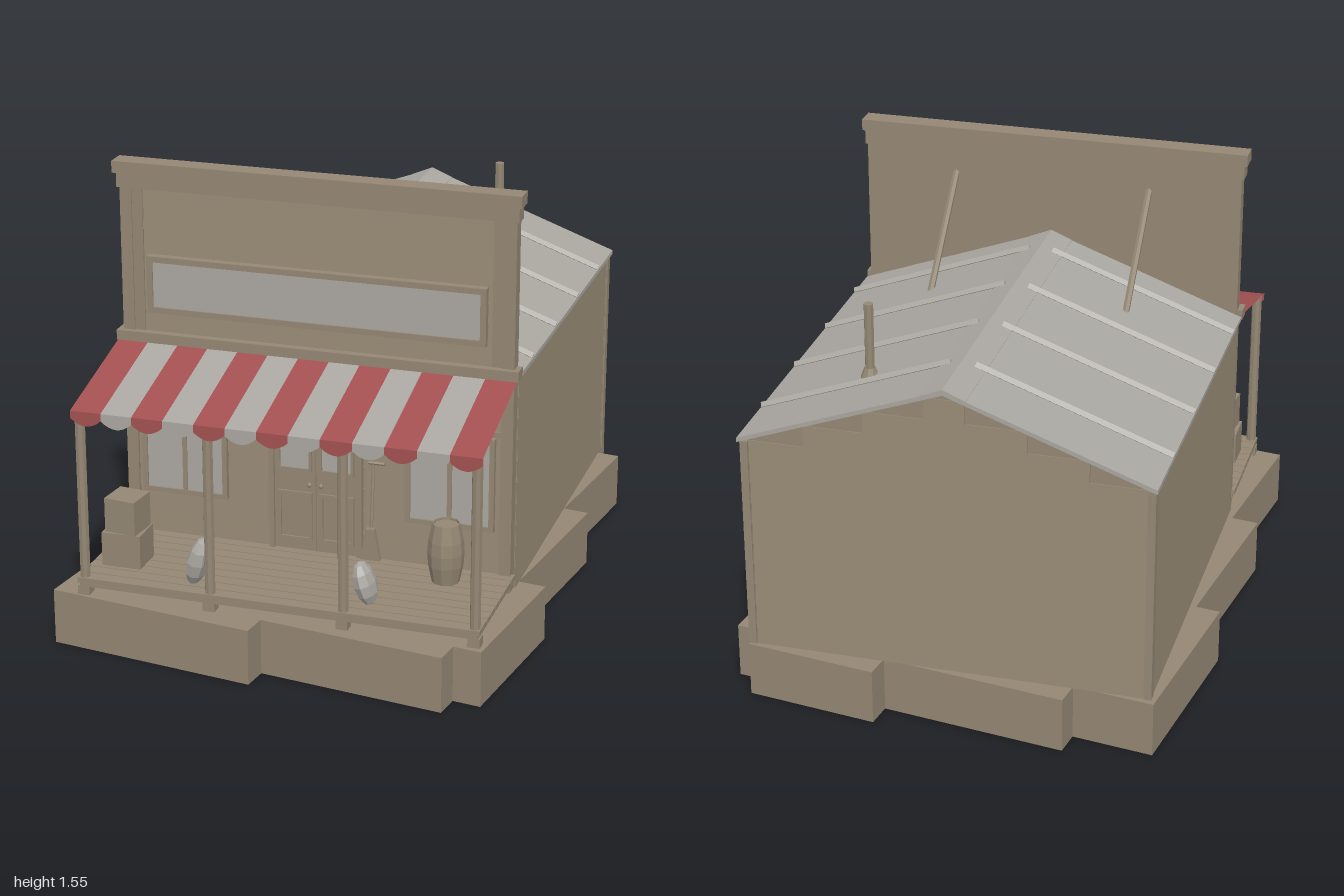
import * as THREE from 'three';

const flat = (name, color, extra = {}) => {
  const m = new THREE.MeshStandardMaterial({ color, ...extra });
  m.name = name;
  return m;
};

export function createModel() {
  const wood = flat('weathered wood', 0x948773, { flatShading: true });
  const grey = flat('pale grey', 0xaaa7a1, { side: THREE.DoubleSide, flatShading: true });
  const red = flat('awning red', 0xa25050, { side: THREE.DoubleSide });

  const model = new THREE.Group();
  const house = new THREE.Group();
  house.name = 'store';
  house.rotation.y = 0.143;
  model.add(house);

  const add = (name, geo, mat, x = 0, y = 0, z = 0, parent = house) => {
    const m = new THREE.Mesh(geo, mat);
    m.name = name;
    m.position.set(x, y, z);
    parent.add(m);
    return m;
  };
  // box given by its limits
  const box = (name, mat, x0, x1, y0, y1, z0, z1, parent = house) =>
    add(name, new THREE.BoxGeometry(x1 - x0, y1 - y0, z1 - z0), mat,
      (x0 + x1) / 2, (y0 + y1) / 2, (z0 + z1) / 2, parent);
  const rod = (name, mat, a, b, r, sides = 8) => {
    const p = new THREE.Vector3(...a), q = new THREE.Vector3(...b), d = q.clone().sub(p);
    const m = add(name, new THREE.CylinderGeometry(r, r, d.length(), sides), mat);
    m.position.copy(p).add(q).multiplyScalar(0.5);
    m.quaternion.setFromUnitVectors(new THREE.Vector3(0, 1, 0), d.normalize());
    return m;
  };
  const extrude = (pts, depth) => new THREE.ExtrudeGeometry(
    new THREE.Shape(pts.map(p => new THREE.Vector2(...p))), { depth, bevelEnabled: false });
  // lapped boards facing +z, centred on x
  const siding = (name, w, y0, y1, n) => {
    const pts = [[-0.004, y1], [-0.004, y0]], h = (y1 - y0) / n;
    for (let i = 0; i < n; i++) pts.push([0.01, y0 + i * h], [0.003, y0 + (i + 1) * h]);
    const g = extrude(pts, w);
    g.translate(0, 0, -w / 2);
    g.rotateY(-Math.PI / 2);
    return add(name, g, wood);
  };

  // stepped stone footing, rows of [z0, z1, x0, x1]
  [[-1, -0.91, 0.09, 0.54], [-0.91, -0.82, -0.54, 0.63], [-0.82, -0.365, -0.815, 0.63],
    [-0.365, -0.19, -0.815, 0.72], [-0.19, 0.27, -0.73, 0.72], [0.27, 0.45, -0.73, 0.815],
    [0.45, 0.81, -0.635, 0.815], [0.81, 0.9, -0.635, 0.72], [0.9, 0.99, -0.635, 0.085]]
    .forEach(([z0, z1, x0, x1]) => box('foundation', wood, x0, x1, 0, 0.19, z0, z1, model));

  // main hall with lapped boards
  add('hall', extrude([[-0.665, 0.185], [0.665, 0.185], [0.665, 0.935], [0, 1.185], [-0.665, 0.935]], 1.31),
    wood, 0, 0, -0.89);
  const back = siding('backSiding', 1.33, 0.19, 0.935, 10);
  back.position.z = -0.89;
  back.rotation.y = Math.PI;
  for (let i = 0; i < 3; i++) {
    const y = 0.935 + i * 0.075;
    const gable = siding('gableSiding', 1.33 * (1.185 - y - 0.075) / 0.25, y, y + 0.075, 1);
    gable.position.z = -0.89;
    gable.rotation.y = Math.PI;
  }
  for (const s of [-1, 1]) {
    const side = siding('sideSiding', 1.31, 0.19, 0.935, 10);
    side.position.set(s * 0.665, 0, -0.235);
    side.rotation.y = s * Math.PI / 2;
    box('cornerBoard', wood, s * 0.665 - 0.013, s * 0.665 + 0.013, 0.19, 0.935, -0.905, -0.87);

    // roof slope, ridge cap and seams
    const slope = [[0, 1.2], [0, 1.185], [s * 0.684, 0.935], [s * 0.684, 0.95]];
    add('roof', extrude(slope, 1.335), grey, 0, 0, -0.915);
    add('ridgeCap', extrude([[0, 1.205], [0, 1.19], [s * 0.075, 1.165], [s * 0.075, 1.174]], 1.335),
      grey, 0, 0, -0.915);
    for (let i = 0; i < 4; i++) {
      const seam = rod('roofSeam', grey, [s * 0.04, 1.188, -0.68 + i * 0.32],
        [s * 0.682, 0.953, -0.68 + i * 0.32], 0.013, 4);
      seam.name = 'roofSeam';
    }
    // brace behind the false front
    rod('frontBrace', wood, [s * 0.345, 1.06, 0.09], [s * 0.345, 1.39, 0.43], 0.012, 6);
  }
  rod('stovePipe', wood, [0.33, 1.06, -0.62], [0.33, 1.33, -0.62], 0.016);
  add('pipeCollar', new THREE.CylinderGeometry(0.018, 0.032, 0.035, 8), wood, 0.33, 1.09, -0.62);

  // false front
  box('falseFront', wood, -0.665, 0.665, 0.19, 1.5, 0.42, 0.45);
  siding('upperSiding', 1.3, 0.97, 1.46, 7).position.z = 0.45;
  siding('middleSiding', 1.3, 0.75, 0.935, 3).position.z = 0.45;
  siding('lowerSiding', 1.3, 0.25, 0.73, 6).position.z = 0.45;
  box('cap', wood, -0.686, 0.686, 1.51, 1.55, 0.416, 0.487);
  box('capMoulding', wood, -0.676, 0.676, 1.46, 1.51, 0.418, 0.475);
  box('ledge', wood, -0.686, 0.686, 0.935, 0.97, 0.43, 0.487);
  box('header', wood, -0.665, 0.665, 0.73, 0.75, 0.44, 0.467);
  for (const s of [-1, 1]) {
    box('frontCornerBoard', wood, s * 0.648 - 0.02, s * 0.648 + 0.02, 0.19, 1.46, 0.42, 0.468);
    box('innerCornerBoard', wood, s * 0.61 - 0.018, s * 0.61 + 0.018, 0.97, 1.46, 0.44, 0.463);
  }

  // rectangular frame with an optional filling
  const frame = (name, x0, x1, y0, y1, t, z, fill) => {
    for (const [a, b] of [[x0, x0 + t], [x1 - t, x1]]) box(name + 'Frame', wood, a, b, y0, y1, 0.44, z);
    for (const [a, b] of [[y0, y0 + t], [y1 - t, y1]]) box(name + 'Frame', wood, x0 + t, x1 - t, a, b, 0.44, z);
    if (fill) box(name, fill, x0 + t, x1 - t, y0 + t, y1 - t, z - 0.014, z - 0.006);
  };
  frame('signBoard', -0.576, 0.576, 1.04, 1.235, 0.02, 0.482, grey);
  box('signBack', wood, -0.57, 0.57, 1.045, 1.23, 0.44, 0.466);
  for (const s of [-1, 1]) {
    const w = s * 0.46;
    frame('window', w - 0.15, w + 0.15, 0.4, 0.725, 0.017, 0.476, grey);
    box('windowMullion', wood, w - 0.008, w + 0.008, 0.415, 0.71, 0.45, 0.474);
    // one leaf of the double door
    const d = s * 0.073;
    box('door', wood, d - 0.072, d + 0.072, 0.25, 0.71, 0.44, 0.465);
    frame('doorWindow', d - 0.06, d + 0.06, 0.535, 0.69, 0.01, 0.474, grey);
    frame('doorPanel', d - 0.06, d + 0.06, 0.285, 0.46, 0.012, 0.472);
    box('doorJamb', wood, s * 0.153 - 0.009, s * 0.153 + 0.009, 0.25, 0.73, 0.44, 0.476);
    add('doorKnob', new THREE.SphereGeometry(0.008, 8, 6), wood, s * 0.02, 0.49, 0.473);
  }

  // porch deck and posts
  box('sill', wood, -0.665, 0.665, 0.185, 0.225, 0.42, 0.475);
  for (let i = 0; i < 9; i++)
    box('deckPlank', wood, -0.68, 0.68, 0.232, 0.25, 0.45 + i * 0.05, 0.496 + i * 0.05);
  box('deckFrame', wood, -0.672, 0.672, 0.22, 0.234, 0.45, 0.895);
  for (const x of [-0.66, -0.225, 0.225, 0.66]) {
    rod('porchPost', wood, [x, 0.19, 0.875], [x, 0.835, 0.875], 0.0175);
    box('postFoot', wood, x - 0.02, x + 0.02, 0.185, 0.222, 0.855, 0.895);
  }
  box('awningBeam', wood, -0.67, 0.67, 0.805, 0.828, 0.865, 0.885);

  // striped awning with scalloped edge
  const n = 13, w = 1.364 / n;
  const scallop = new THREE.Shape();
  scallop.moveTo(-w / 2, 0.835);
  scallop.lineTo(-w / 2, 0.81);
  scallop.quadraticCurveTo(0, 0.762, w / 2, 0.81);
  scallop.lineTo(w / 2, 0.835);
  for (let i = 0; i < n; i++) {
    const x = (i - (n - 1) / 2) * w, mat = i % 2 ? grey : red;
    const strip = add('awningStripe', new THREE.PlaneGeometry(w, Math.hypot(0.43, 0.105)), mat, x, 0.8875, 0.685);
    strip.rotation.x = -Math.atan2(0.43, 0.105);
    add('awningScallop', new THREE.ShapeGeometry(scallop, 8), mat, x, 0, 0.9);
  }

  // goods on the porch
  const barrel = [[0, 0], [0.046, 0], [0.058, 0.06], [0.061, 0.103], [0.058, 0.146], [0.046, 0.206], [0.042, 0.206], [0.042, 0.198], [0, 0.198]];
  add('barrel', new THREE.LatheGeometry(barrel.map(p => new THREE.Vector2(...p)), 10), wood, 0.475, 0.25, 0.56);
  box('lowerCrate', wood, -0.64, -0.505, 0.25, 0.367, 0.66, 0.78);
  const crate = box('upperCrate', wood, -0.625, -0.515, 0.367, 0.485, 0.665, 0.775);
  crate.rotation.y = -0.12;
  for (const [x, z, h, tilt] of [[-0.285, 0.82, 0.085, -0.25], [0.275, 0.8, 0.075, 0.3]]) {
    const sack = add('sack', new THREE.SphereGeometry(1, 8, 6), grey, x, 0.245 + h, z);
    sack.scale.set(0.036, h, 0.055);
    sack.rotation.z = tilt;
  }
  rod('broomHandle', wood, [0.205, 0.37, 0.51], [0.205, 0.605, 0.485], 0.006, 6);
  rod('broomPeg', wood, [0.19, 0.602, 0.487], [0.245, 0.602, 0.487], 0.006, 6);
  add('broomHead', extrude([[-0.034, 0.27], [0.034, 0.27], [0.014, 0.38], [-0.014, 0.38]], 0.02), wood, 0.205, 0, 0.505);

  return model;
}
